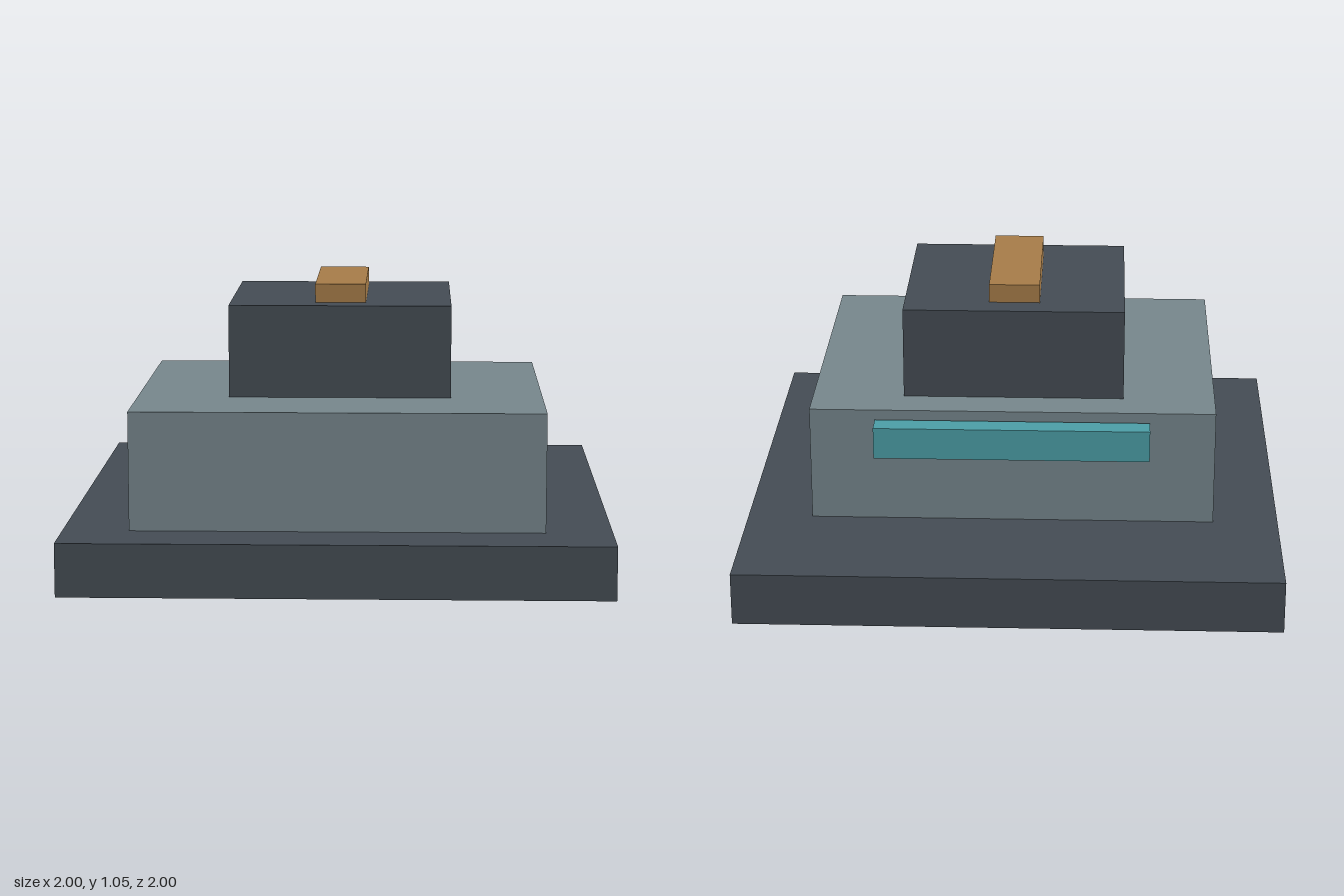
import * as THREE from 'three';

const DARK = 0x444c54, GREY = 0x76868c, AMBER = 0xa67c48, TEAL = 0x4c9ea6;

// Box given by its extents along each axis
function block(name, color, [x0, x1], [y0, y1], [z0, z1]) {
  const mesh = new THREE.Mesh(
    new THREE.BoxGeometry(x1 - x0, y1 - y0, z1 - z0),
    new THREE.MeshStandardMaterial({ color })
  );
  mesh.position.set((x0 + x1) / 2, (y0 + y1) / 2, (z0 + z1) / 2);
  mesh.name = name;
  return mesh;
}

export function createModel() {
  const model = new THREE.Group();
  model.name = 'steppedBuilding';
  model.add(
    // Stacked tiers, set slightly toward the front
    block('basePlate', DARK, [-1, 1], [0, 0.197], [-1, 1]),
    block('lowerTier', GREY, [-0.757, 0.757], [0.197, 0.635], [-0.485, 0.78]),
    block('upperTier', DARK, [-0.414, 0.414], [0.635, 0.98], [-0.341, 0.438]),
    // Ridge strip on the roof
    block('roofStrip', AMBER, [-0.095, 0.095], [0.98, 1.05], [-0.244, 0.341]),
    // Bar just off the back wall
    block('rearBar', TEAL, [-0.512, 0.512], [0.48, 0.6], [-0.58, -0.495])
  );
  return model;
}
